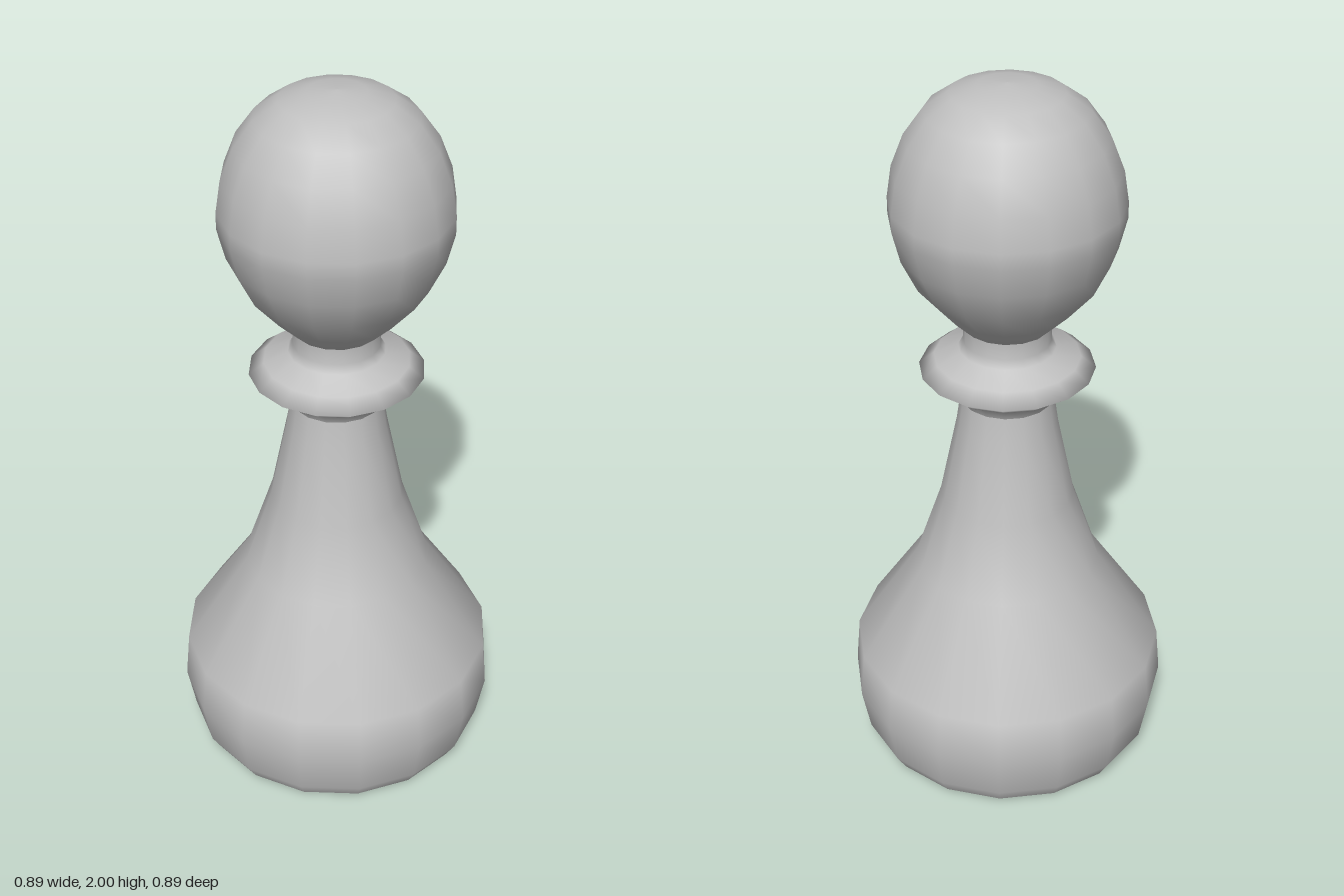
import * as THREE from 'three';

const SIDES = 16;

export function createModel() {
  const model = new THREE.Group();
  model.name = 'pawn';
  const grey = new THREE.MeshStandardMaterial({ color: 0xc0c0c0 });
  grey.name = 'plain grey';

  // Turned parts: [radius, height] from bottom to top
  const turn = (name, profile) => {
    const points = profile.map(([r, y]) => new THREE.Vector2(r, y));
    const mesh = new THREE.Mesh(new THREE.LatheGeometry(points, SIDES), grey);
    mesh.name = name;
    model.add(mesh);
  };

  // Flat underside
  turn('underside', [[0, 0], [0.36, 0], [0.395, 0.012]]);

  // Bulging foot and tapering stem
  turn('body', [
    [0.395, 0.012], [0.423, 0.06], [0.446, 0.185], [0.434, 0.32],
    [0.257, 0.59], [0.184, 0.81], [0.137, 1.04], [0.126, 1.115],
  ]);

  // Thin flared collar and neck
  turn('collar', [
    [0.126, 1.115], [0.142, 1.15], [0.19, 1.175], [0.235, 1.208],
    [0.195, 1.24], [0.13, 1.268], [0.117, 1.29], [0.117, 1.335],
  ]);

  // Egg-shaped head
  turn('head', [
    [0.117, 1.335], [0.172, 1.39], [0.24, 1.47], [0.283, 1.56],
    [0.304, 1.645], [0.304, 1.69], [0.291, 1.775], [0.258, 1.86],
    [0.208, 1.93], [0.145, 1.975], [0.075, 1.995], [0, 2],
  ]);

  return model;
}
